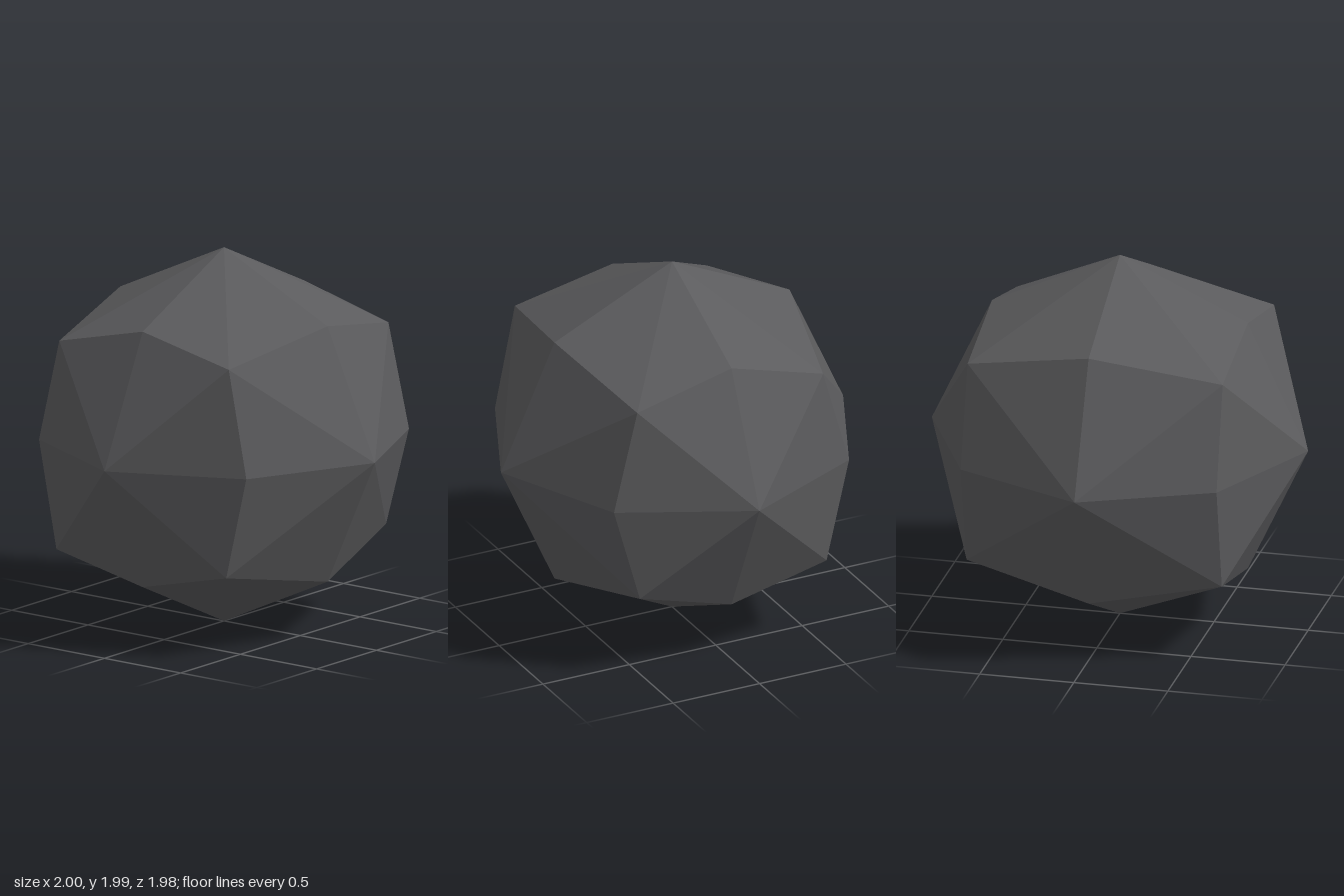
import * as THREE from 'three';

// Half-depth of each slightly uneven cube corner, keyed by the signs of x, y, z
const CORNER = {
  '1,1,1': 0.545, '1,1,-1': 0.53, '1,-1,1': 0.53, '1,-1,-1': 0.55,
  '-1,1,1': 0.565, '-1,1,-1': 0.547, '-1,-1,1': 0.548, '-1,-1,-1': 0.566,
};
const CENTRE_Y = 0.995;

// Turns a grid direction (each part -1, 0 or 1) into a point on the stone
function point(d) {
  const count = d.filter((c) => c !== 0).length;
  let p;
  if (count === 1) p = [d[0], d[1] * 0.995, d[2] * 0.99]; // face peak
  else if (count === 2) p = d.map((c) => c * 0.68); // edge middle
  else {
    const r = CORNER[d.join(',')];
    p = [d[0] * 0.68, d[1] * r, d[2] * r];
  }
  return [p[0], p[1] + CENTRE_Y, p[2]];
}

// One bulged cube side: a fan of eight triangles round its peak
function sideGeometry(axis, sign) {
  const ring = [[1, 0], [1, 1], [0, 1], [-1, 1], [-1, 0], [-1, -1], [0, -1], [1, -1]];
  const direction = (u, v) => {
    const d = [0, 0, 0];
    d[axis] = sign;
    d[(axis + 1) % 3] = u;
    d[(axis + 2) % 3] = v;
    return d;
  };
  const positions = [];
  for (let i = 0; i < 8; i++) {
    const a = point(direction(...ring[i]));
    const b = point(direction(...ring[(i + 1) % 8]));
    const peak = point(direction(0, 0));
    positions.push(...peak, ...(sign > 0 ? [...a, ...b] : [...b, ...a]));
  }
  const geometry = new THREE.BufferGeometry();
  geometry.setAttribute('position', new THREE.Float32BufferAttribute(positions, 3));
  geometry.computeVertexNormals(); // unshared corners give flat facets
  return geometry;
}

export function createModel() {
  const group = new THREE.Group();
  group.name = 'facetedStone';
  const stone = new THREE.MeshStandardMaterial({ color: 0x5b5b5d });
  stone.name = 'dark grey stone';

  const names = [['leftSide', 'rightSide'], ['topSide', 'bottomSide'], ['frontSide', 'backSide']];
  names.forEach((pair, axis) => pair.forEach((name, i) => {
    const mesh = new THREE.Mesh(sideGeometry(axis, i === 0 ? 1 : -1), stone);
    mesh.name = name;
    group.add(mesh);
  }));
  return group;
}
